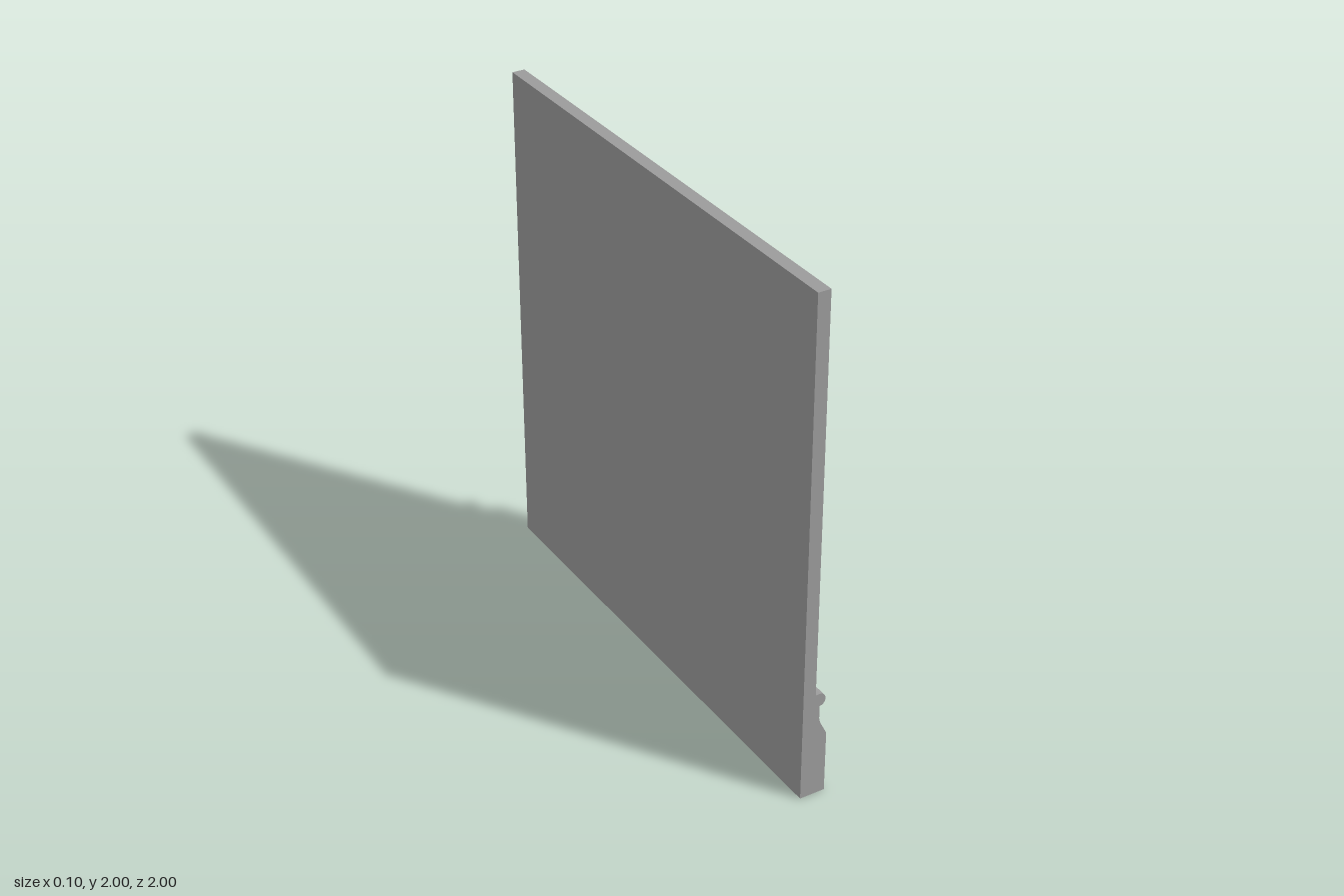
import * as THREE from 'three';
import { toCreasedNormals } from 'three/addons/utils/BufferGeometryUtils.js';

export function createModel() {
  const group = new THREE.Group();
  group.name = 'wallPanelWithBaseboard';

  const length = 2, wallBack = -0.05, wallFace = 0;
  const neck = 0.018, beadDepth = 0.023, beadRadius = 0.026, beadY = 0.404;

  // Cross-section: plain wall above, moulded skirting with a rounded bead below
  const profile = new THREE.Shape();
  profile.moveTo(wallBack, 0);
  profile.lineTo(0.05, 0);
  profile.lineTo(0.05, 0.2);
  profile.lineTo(0.05, 0.25);
  profile.lineTo(0.022, 0.307);
  profile.lineTo(neck, 0.325);
  profile.lineTo(neck, beadY - beadRadius);
  profile.absellipse(neck, beadY, beadDepth, beadRadius, -Math.PI / 2, Math.PI / 2, false, 0);
  profile.lineTo(wallFace, beadY + beadRadius);
  profile.lineTo(wallFace, 2);
  profile.lineTo(wallBack, 2);
  profile.closePath();

  // Run the section along z
  const geometry = new THREE.ExtrudeGeometry(profile, {
    depth: length, bevelEnabled: false, curveSegments: 6,
  });
  geometry.translate(0, 0, -length / 2);

  const wall = new THREE.Mesh(
    toCreasedNormals(geometry, 0.6),
    new THREE.MeshStandardMaterial({ color: 0x9b9b9b }),
  );
  wall.name = 'wallAndBaseboard';
  group.add(wall);
  return group;
}
